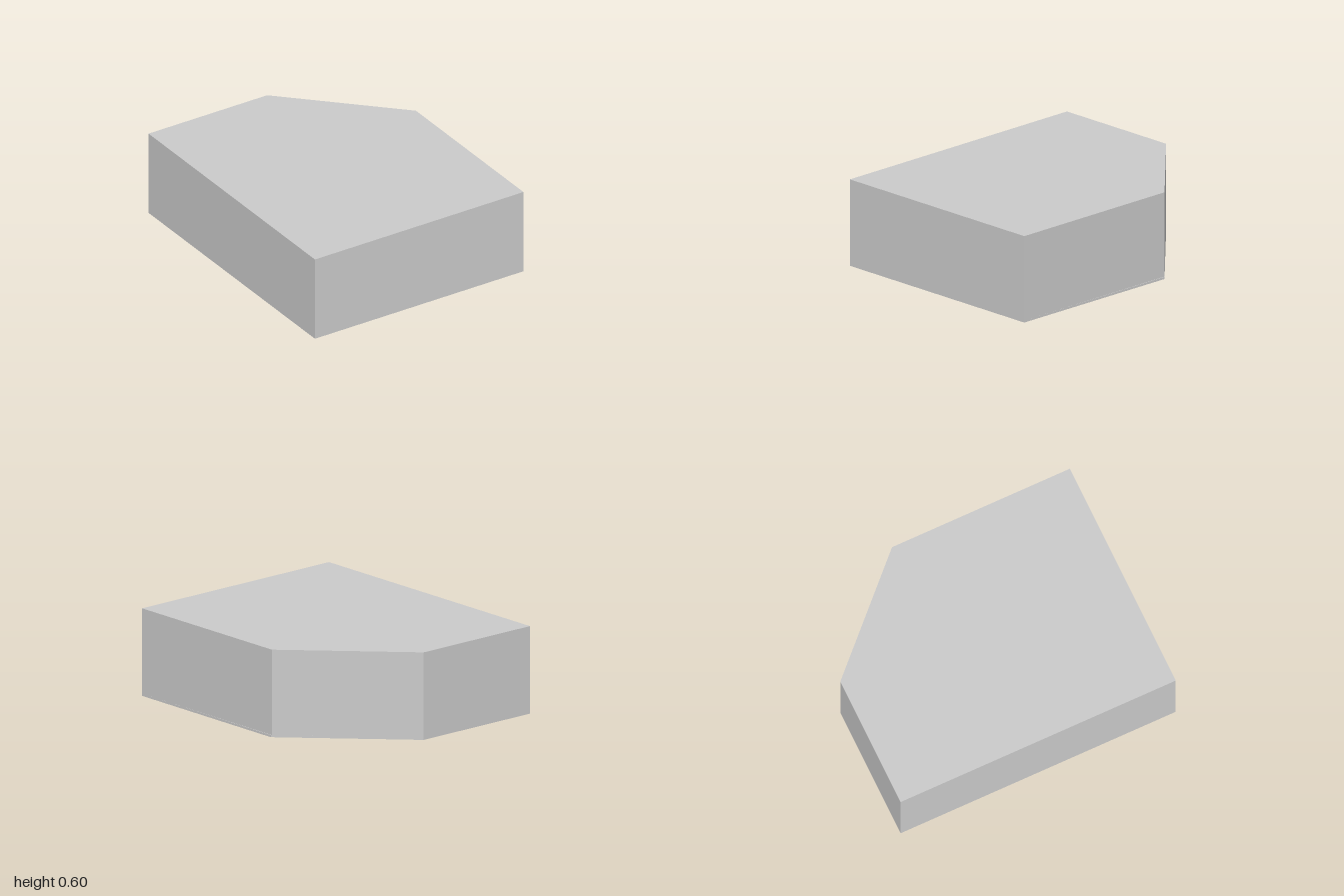
import * as THREE from 'three';

const material = new THREE.MeshStandardMaterial({ color: 0xcccccc, flatShading: true });

// Upright prism from a plan outline of [x, z] corners
function prism(name, outline, bottom, top) {
  const shape = new THREE.Shape(outline.map(([x, z]) => new THREE.Vector2(x, -z)));
  const geometry = new THREE.ExtrudeGeometry(shape, { depth: top - bottom, bevelEnabled: false });
  geometry.rotateX(-Math.PI / 2).translate(0, bottom, 0);
  const mesh = new THREE.Mesh(geometry, material);
  mesh.name = name;
  return mesh;
}

// Rectangle with its back left corner cut off at 45 degrees
function cutCornerPlan(frontX, backX, cutZ) {
  return [[-0.822, 1], [frontX, 1], [backX, cutZ], [0.11, -1], [-0.822, -1]];
}

export function createModel() {
  const group = new THREE.Group();
  group.name = 'cutCornerBlock';
  // Thin base whose side edge stands slightly proud towards the back
  group.add(prism('base', cutCornerPlan(0.817, 0.822, -0.287), 0, 0.015));
  group.add(prism('body', cutCornerPlan(0.817, 0.817, -0.292), 0.015, 0.6));
  return group;
}
